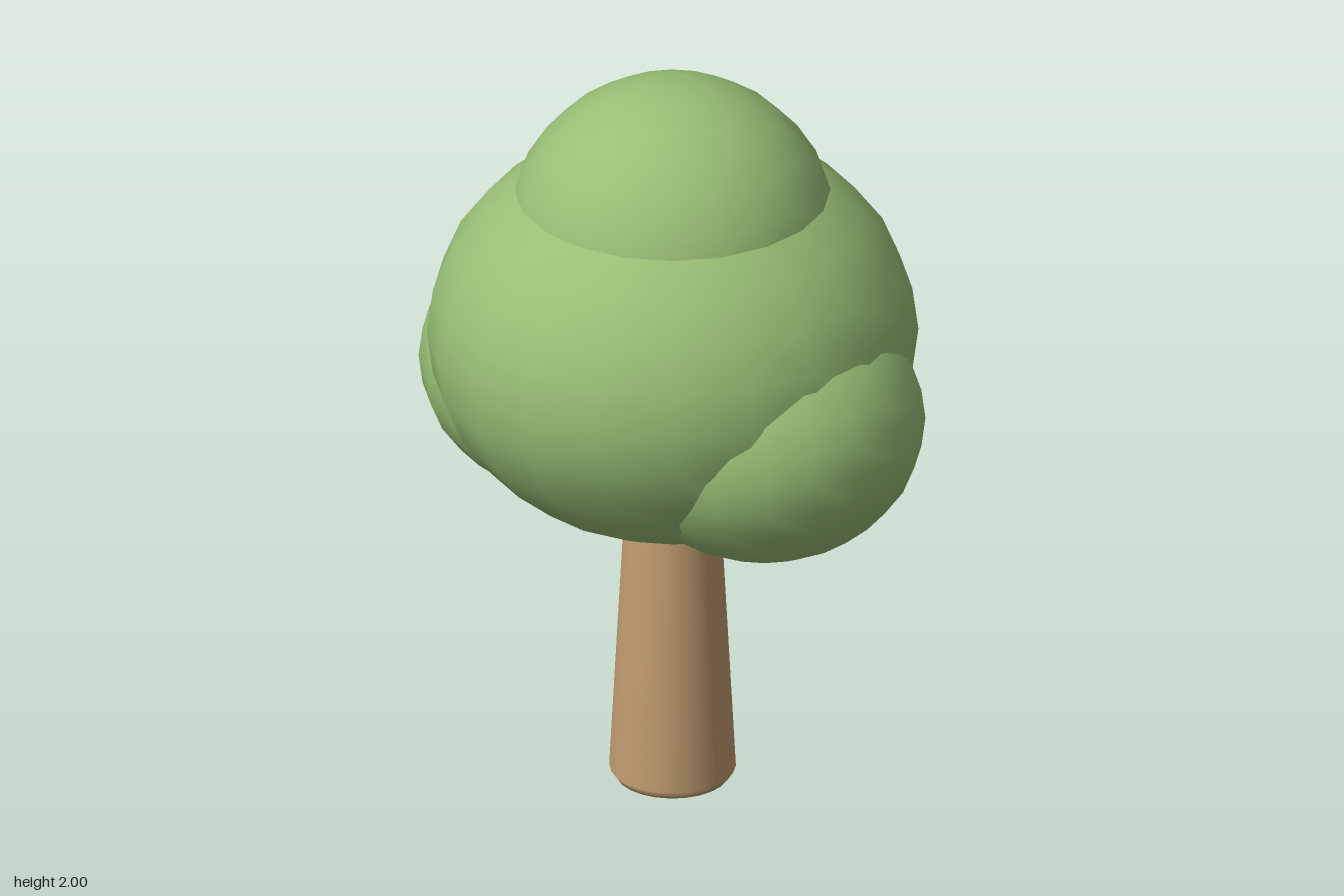
import * as THREE from 'three';

export function createModel() {
  const tree = new THREE.Group();
  tree.name = 'tree';

  const leafGreen = new THREE.MeshStandardMaterial({ color: 0x98be75 });
  leafGreen.name = 'leafGreen';
  const barkBrown = new THREE.MeshStandardMaterial({ color: 0xc29d70 });
  barkBrown.name = 'barkBrown';

  // Tapered trunk with a small bevel at the foot
  const profile = [[0, 0], [0.148, 0], [0.165, 0.025], [0.125, 0.78], [0.118, 0.85], [0, 0.85]]
    .map(([r, y]) => new THREE.Vector2(r, y));
  const trunk = new THREE.Mesh(new THREE.LatheGeometry(profile, 24), barkBrown);
  trunk.name = 'trunk';
  tree.add(trunk);

  // Rounded leaf masses: name, centre, horizontal radius, vertical radius
  const masses = [
    ['mainCanopy', [0, 1.292, 0], 0.64, 0.538],
    ['crown', [0, 1.563, 0], 0.437, 0.437],
    ['leftLeafCluster', [0.29, 1.14, 0.13], 0.42, 0.365],
    ['rightLeafCluster', [-0.29, 1.12, -0.12], 0.42, 0.36],
    ['backLeafCluster', [0, 1.07, -0.295], 0.34, 0.31],
  ];
  for (const [name, centre, radius, height] of masses) {
    const geometry = new THREE.SphereGeometry(1, 20, 14);
    geometry.scale(radius, height, radius);
    const mass = new THREE.Mesh(geometry, leafGreen);
    mass.name = name;
    mass.position.set(...centre);
    tree.add(mass);
  }

  return tree;
}
